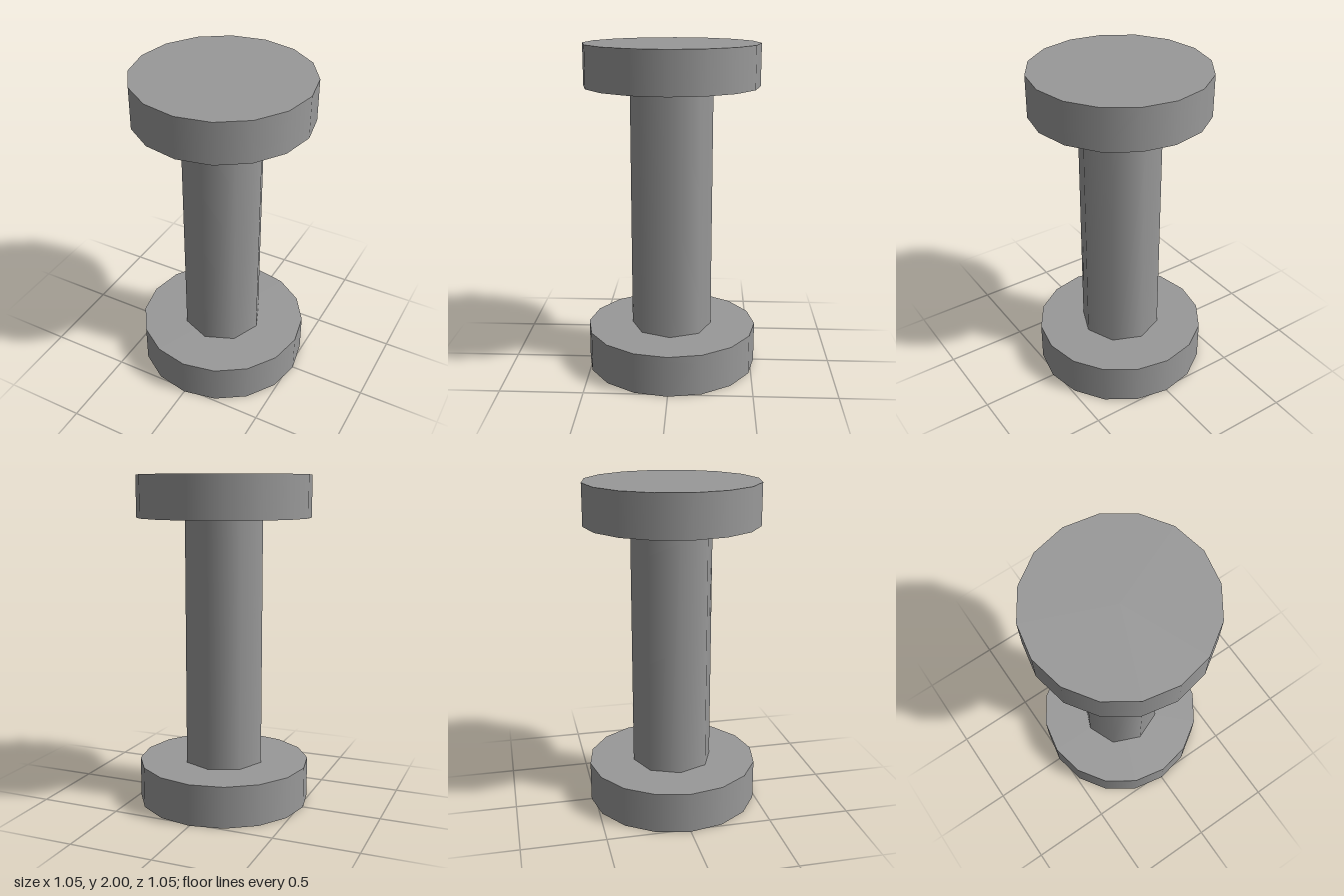
import * as THREE from 'three';

export function createModel() {
  const group = new THREE.Group();
  const material = new THREE.MeshStandardMaterial({ color: 0x999999 });

  const addCylinder = (name, radius, bottom, top, sides) => {
    const geometry = new THREE.CylinderGeometry(radius, radius, top - bottom, sides);
    const mesh = new THREE.Mesh(geometry, material);
    mesh.name = name;
    mesh.position.y = (bottom + top) / 2;
    group.add(mesh);
  };

  // Two wide discs joined by an eight-sided shaft
  addCylinder('bottomDisc', 0.525, 0, 0.25, 16);
  addCylinder('shaft', 0.248, 0.25, 1.75, 8);
  addCylinder('topDisc', 0.525, 1.75, 2, 16);

  return group;
}
